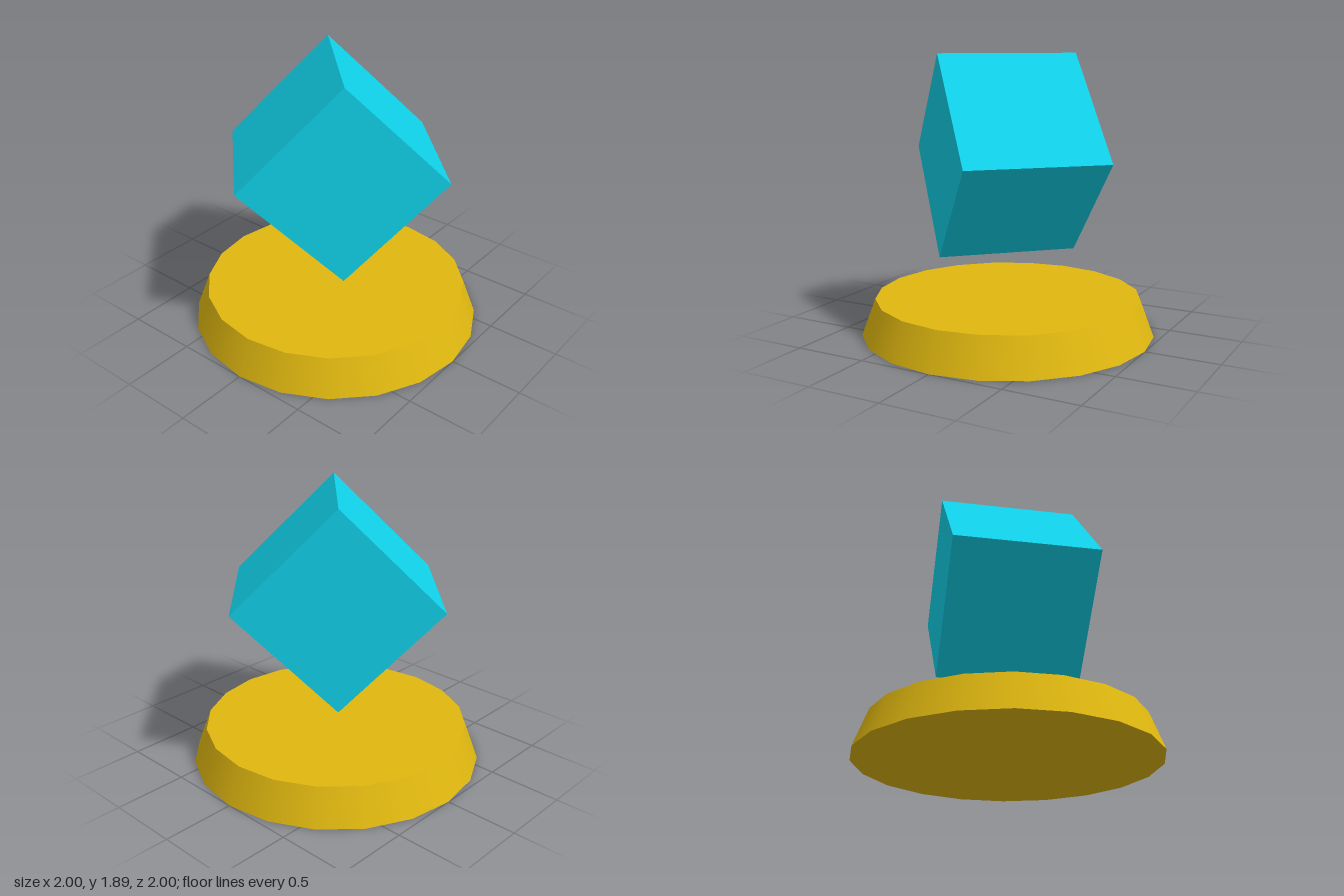
import * as THREE from 'three';

export function createModel() {
  const model = new THREE.Group();

  function addPart(name, geometry, color, y) {
    const mesh = new THREE.Mesh(geometry, new THREE.MeshStandardMaterial({ color }));
    mesh.name = name;
    mesh.position.y = y;
    model.add(mesh);
  }

  // Round tapered base, 20 smooth-shaded sides
  const baseHeight = 0.25;
  addPart('base', new THREE.CylinderGeometry(0.907, 1, baseHeight, 20), 0xe0b810, baseHeight / 2);

  // Floating cube, tipped onto one edge and turned so that edge runs diagonally
  const side = 0.956;
  const cube = new THREE.BoxGeometry(side, side, side);
  cube.rotateZ(Math.PI / 4);
  cube.rotateY(-Math.PI / 4);
  addPart('floatingCube', cube, 0x10d0e8, 1.218);

  return model;
}
